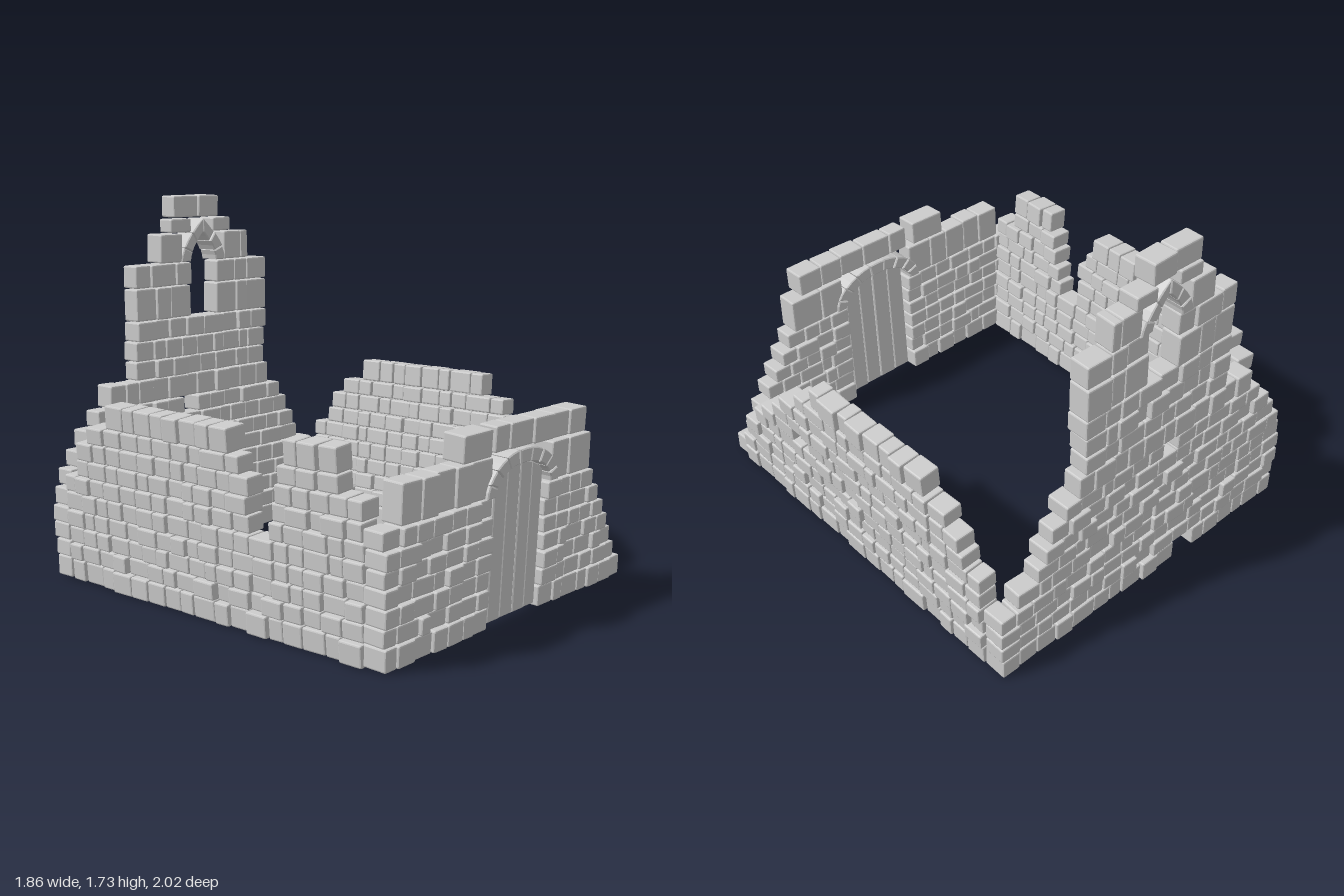
import * as THREE from 'three';
import { RoundedBoxGeometry } from 'three/addons/geometries/RoundedBoxGeometry.js';

const stone = new THREE.MeshStandardMaterial({ color: 0xcccccc, flatShading: true });

// Small seeded generator for the uneven masonry
let seed = 7;
const rand = () => (seed = (seed * 16807) % 2147483647) / 2147483647;
const jitter = (r) => (rand() * 2 - 1) * r;

// Course boundaries shared by the side and back walls
const Y = [0, 0.1, 0.18, 0.26, 0.34, 0.425, 0.505, 0.585, 0.67, 0.75, 0.86];

// One chamfered stone spanning a..b along the wall and y0..y1 in height
function addStone(wall, a, b, y0, y1) {
  const gap = 0.005, depth = 0.1 + jitter(0.013);
  const geo = new RoundedBoxGeometry(b - a - gap, y1 - y0 - gap, depth, 1, 0.007);
  const mesh = new THREE.Mesh(geo, stone);
  mesh.name = 'stone';
  mesh.position.set((a + b) / 2, (y0 + y1) / 2, jitter(0.008));
  mesh.rotation.set(jitter(0.02), jitter(0.03), jitter(0.012));
  wall.add(mesh);
}

// A run of stones of varied length
function addRun(wall, y0, y1, a, b, length = 0.095) {
  const n = Math.max(1, Math.round((b - a) / length));
  let from = a;
  for (let i = 1; i <= n; i++) {
    const to = i === n ? b : a + ((b - a) * (i + jitter(0.22))) / n;
    addStone(wall, from, to, y0, y1);
    from = to;
  }
}

// Wall group: local x runs along it, local z points outward, lean tips the top outward
function makeWall(name, x, z, turn, lean) {
  const wall = new THREE.Group();
  wall.name = name;
  wall.position.set(x, 0, z);
  wall.rotation.set(lean, turn, 0, 'YXZ');
  return wall;
}

function extrude(points, depth) {
  const bevel = 0.005;
  const geo = new THREE.ExtrudeGeometry(new THREE.Shape(points), {
    depth: depth - 2 * bevel, bevelSize: bevel, bevelThickness: bevel, bevelOffset: -bevel - 0.002, bevelSegments: 1,
  });
  return geo.translate(0, 0, -depth / 2 + bevel);
}

// Ring of wedge stones between two curves, each a function of t in -1..1
function addArch(wall, name, inner, outer, n, depth) {
  const arch = new THREE.Group();
  arch.name = name;
  for (let i = 0; i < n; i++) {
    const t0 = -1 + (2 * i) / n, t1 = -1 + (2 * (i + 1)) / n, tm = (t0 + t1) / 2;
    const mesh = new THREE.Mesh(
      extrude([inner(t1), inner(tm), inner(t0), outer(t0), outer(tm), outer(t1)], depth + jitter(0.006)), stone);
    mesh.name = 'archStone';
    arch.add(mesh);
  }
  wall.add(arch);
}

const roundCurve = (w, h, y) => (t) =>
  new THREE.Vector2(w * Math.sin((t * Math.PI) / 2), y + h * Math.cos((t * Math.PI) / 2));
const pointedCurve = (w, h, y) => (t) => {
  const s = 1 - Math.abs(t);
  return new THREE.Vector2(Math.sign(t) * w * (1 - s ** 1.7), y + h * s);
};

// Front wall: doorway, arch and a broken right-hand end
function frontWall() {
  const wall = makeWall('frontWall', 0, 0.91, 0, 0.05);
  const y = [0, 0.097, 0.175, 0.255, 0.332, 0.405, 0.482, 0.562];
  const rightEnd = [0.86, 0.8, 0.76, 0.7, 0.65, 0.6, 0.55];
  rightEnd.forEach((end, i) => {
    addRun(wall, y[i], y[i + 1], -0.86 - 0.07 * y[i], -0.19, 0.1);
    addRun(wall, y[i], y[i + 1], 0.19, end, 0.1);
  });
  addRun(wall, 0.565, 0.735, -0.8, -0.21, 0.12);
  addRun(wall, 0.565, 0.735, 0.21, 0.51, 0.13);
  addRun(wall, 0.74, 0.86, -0.43, -0.24, 0.19);
  addRun(wall, 0.745, 0.86, -0.2, 0.45, 0.13);
  addArch(wall, 'doorArch', roundCurve(0.2, 0.115, 0.565), roundCurve(0.26, 0.18, 0.565), 9, 0.12);

  // Door of four planks cut to the curve of the arch
  const door = new THREE.Group();
  door.name = 'door';
  const edges = [-0.182, -0.09, 0.005, 0.092, 0.178];
  for (let i = 0; i < 4; i++) {
    const a = edges[i], b = edges[i + 1];
    const points = [new THREE.Vector2(a, 0.02), new THREE.Vector2(b, 0.02)];
    for (let k = 0; k <= 4; k++) {
      const x = b + ((a - b) * k) / 4;
      points.push(new THREE.Vector2(x, 0.565 + 0.115 * Math.sqrt(1 - (x / 0.2) ** 2)));
    }
    const plank = new THREE.Mesh(extrude(points, 0.045), stone);
    plank.name = 'plank';
    plank.position.z = 0.01 + jitter(0.004);
    door.add(plank);
  }
  wall.add(door);
  return wall;
}

// Back wall: stepped gable with a pointed window
function backWall() {
  const wall = makeWall('backWall', 0, -0.94, 0, 0);
  const left = [-0.86, -0.87, -0.87, -0.88, -0.87, -0.84, -0.8, -0.74, -0.67, -0.6];
  const right = [0.86, 0.87, 0.87, 0.87, 0.77, 0.67, 0.63, 0.59, 0.52, 0.45];
  const holes = { 0: [-0.3, -0.18], 8: [-0.14, -0.06] };
  left.forEach((a, i) => {
    const cuts = holes[i] ? [a, ...holes[i], right[i]] : [a, right[i]];
    for (let k = 0; k < cuts.length; k += 2) addRun(wall, Y[i], Y[i + 1], cuts[k], cuts[k + 1], 0.1);
  });
  addRun(wall, 0.86, 0.95, -0.43, 0.42, 0.11);
  addRun(wall, 0.95, 1.045, -0.43, 0.42, 0.1);
  addRun(wall, 1.045, 1.14, -0.43, 0.43, 0.11);
  for (const [y0, y1] of [[1.14, 1.295], [1.295, 1.405]]) {
    addRun(wall, y0, y1, -0.43, -0.083, 0.115);
    addRun(wall, y0, y1, 0.083, 0.43, 0.115);
  }
  addStone(wall, -0.275, -0.135, 1.405, 1.545);
  addStone(wall, 0.135, 0.25, 1.405, 1.545);
  addStone(wall, 0.25, 0.3, 1.405, 1.545);
  addStone(wall, -0.2, -0.07, 1.545, 1.615);
  addStone(wall, 0.07, 0.19, 1.545, 1.615);
  addStone(wall, -0.19, -0.035, 1.618, 1.725);
  addStone(wall, -0.035, 0.1, 1.618, 1.725);
  addArch(wall, 'windowArch', pointedCurve(0.083, 0.14, 1.405), pointedCurve(0.15, 0.21, 1.405), 6, 0.11);
  return wall;
}

// Side walls: spans per course as z pairs running from back to front
function sideWall(name, side, spans) {
  const wall = makeWall(name, side * 0.81, 0, (side * Math.PI) / 2, 0.07);
  spans.forEach((cuts, i) => {
    for (let k = 0; k < cuts.length; k += 2) {
      const u = [-side * cuts[k], -side * cuts[k + 1]].sort((p, q) => p - q);
      addRun(wall, Y[i], Y[i + 1], u[0], u[1], 0.1);
    }
  });
  return wall;
}

export function createModel() {
  const model = new THREE.Group();
  model.name = 'ruinedChapel';
  model.add(frontWall(), backWall());
  model.add(sideWall('leftWall', 1, [
    [-0.88, 0.86], [-0.88, 0.86], [-0.88, 0.84], [-0.88, 0.79], [-0.88, 0.72],
    [-0.88, 0.28, 0.39, 0.63], [-0.79, 0.53], [-0.77, 0.45], [-0.69, 0.33], [-0.56, 0.2],
  ]));
  model.add(sideWall('rightWall', -1, [
    [-0.88, 0.86], [-0.88, 0.865], [-0.88, 0.87], [-0.88, 0.875], [-0.88, 0.88],
    [-0.88, 0.28, 0.39, 0.885], [-0.79, 0.28, 0.41, 0.885], [-0.77, 0.3, 0.44, 0.89],
    [-0.69, 0.25, 0.46, 0.77], [-0.56, 0.2, 0.5, 0.77],
  ]));
  return model;
}
